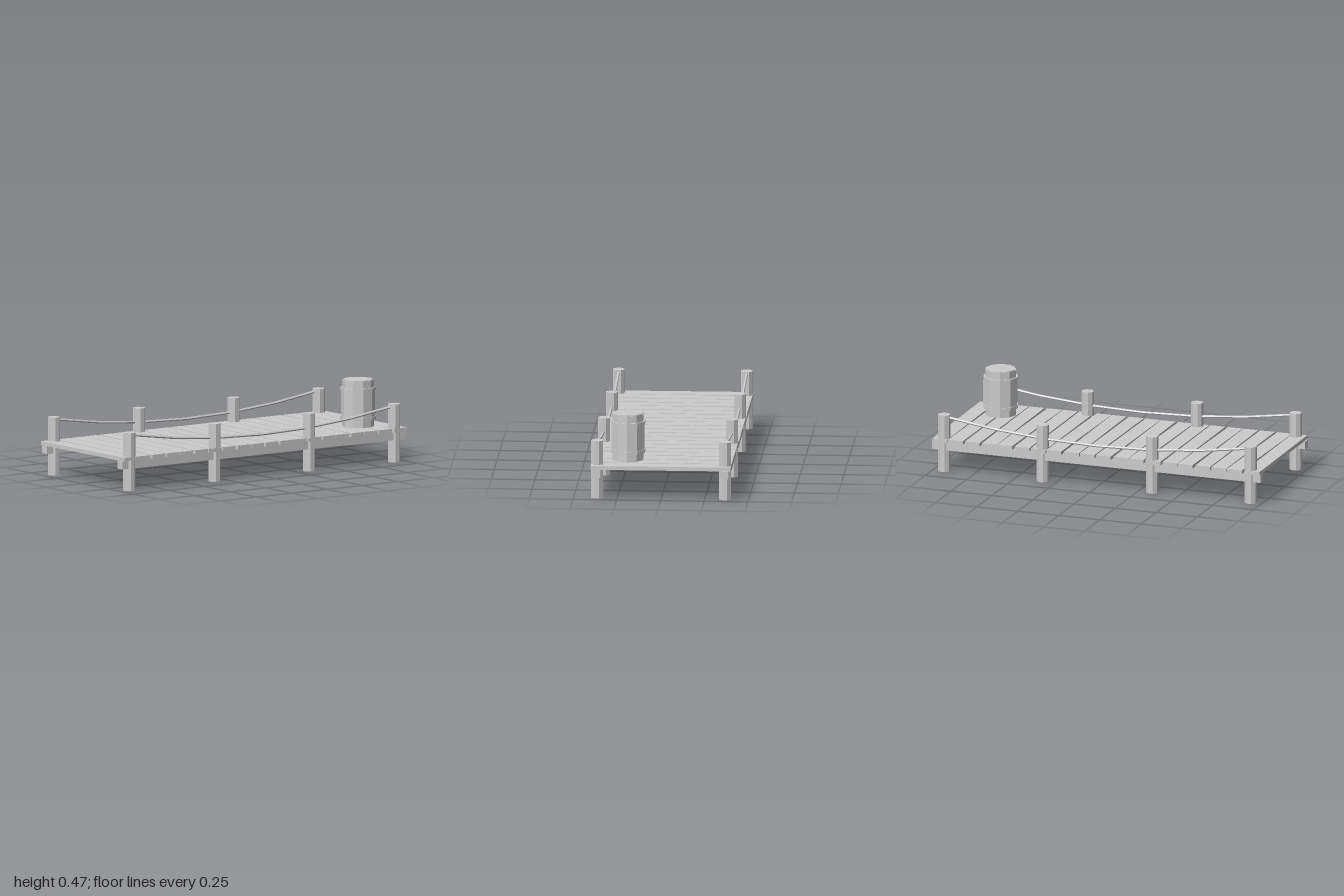
import * as THREE from 'three';

export function createModel() {
  const root = new THREE.Group();
  root.name = 'pier';
  const grey = new THREE.MeshStandardMaterial({ color: 0xcccccc });
  grey.name = 'plain grey';

  function add(name, geometry, x, y, z, parent = root) {
    // split shared vertices so every facet gets its own flat normal
    const flat = geometry.index ? geometry.toNonIndexed() : geometry;
    flat.computeVertexNormals();
    const mesh = new THREE.Mesh(flat, grey);
    mesh.name = name;
    mesh.position.set(x, y, z);
    parent.add(mesh);
    return mesh;
  }

  // deck planks, each laid slightly askew
  const plankCount = 20;
  for (let i = 0; i < plankCount; i++) {
    const plank = add('plank', new THREE.BoxGeometry(0.8, 0.022, 0.09), 0, 0.185, -0.95 + i * 0.1);
    plank.rotation.y = 0.011 * Math.sin(i * 2.3 + 1.5);
  }

  for (const side of [-1, 1]) {
    const x = side * 0.366;
    const label = side > 0 ? 'left' : 'right';

    // long beam under the planks
    add(label + 'Beam', new THREE.BoxGeometry(0.048, 0.046, 2), x, 0.151, 0);

    // octagonal posts with a flat side facing front
    for (const z of [-0.933, -0.333, 0.333, 0.933]) {
      const post = new THREE.CylinderGeometry(0.036, 0.036, 0.334, 8).rotateY(Math.PI / 8);
      add(label + 'Post', post, x, 0.167, z);
    }

    // sagging rope strung along the posts
    const sag = new THREE.QuadraticBezierCurve3(
      new THREE.Vector3(0, 0.32, -0.93),
      new THREE.Vector3(0, 0.16, 0),
      new THREE.Vector3(0, 0.32, 0.93)
    );
    add(label + 'Rope', new THREE.TubeGeometry(sag, 6, 0.008, 6), x, 0, 0);
  }

  // ten-sided barrel: [name, radius, bottom, top]
  const barrel = new THREE.Group();
  barrel.name = 'barrel';
  barrel.position.set(0.199, 0, -0.8);
  root.add(barrel);
  const rings = [
    ['barrelBase', 0.0914, 0.197, 0.24],
    ['barrelBody', 0.098, 0.24, 0.424],
    ['barrelTop', 0.0914, 0.424, 0.464],
    ['barrelLid', 0.086, 0.464, 0.468],
    ['lowerHoop', 0.1027, 0.239, 0.257],
    ['upperHoop', 0.1027, 0.406, 0.422]
  ];
  for (const [name, radius, bottom, top] of rings) {
    const ring = new THREE.CylinderGeometry(radius, radius, top - bottom, 10);
    add(name, ring, 0, (bottom + top) / 2, 0, barrel);
  }

  return root;
}
